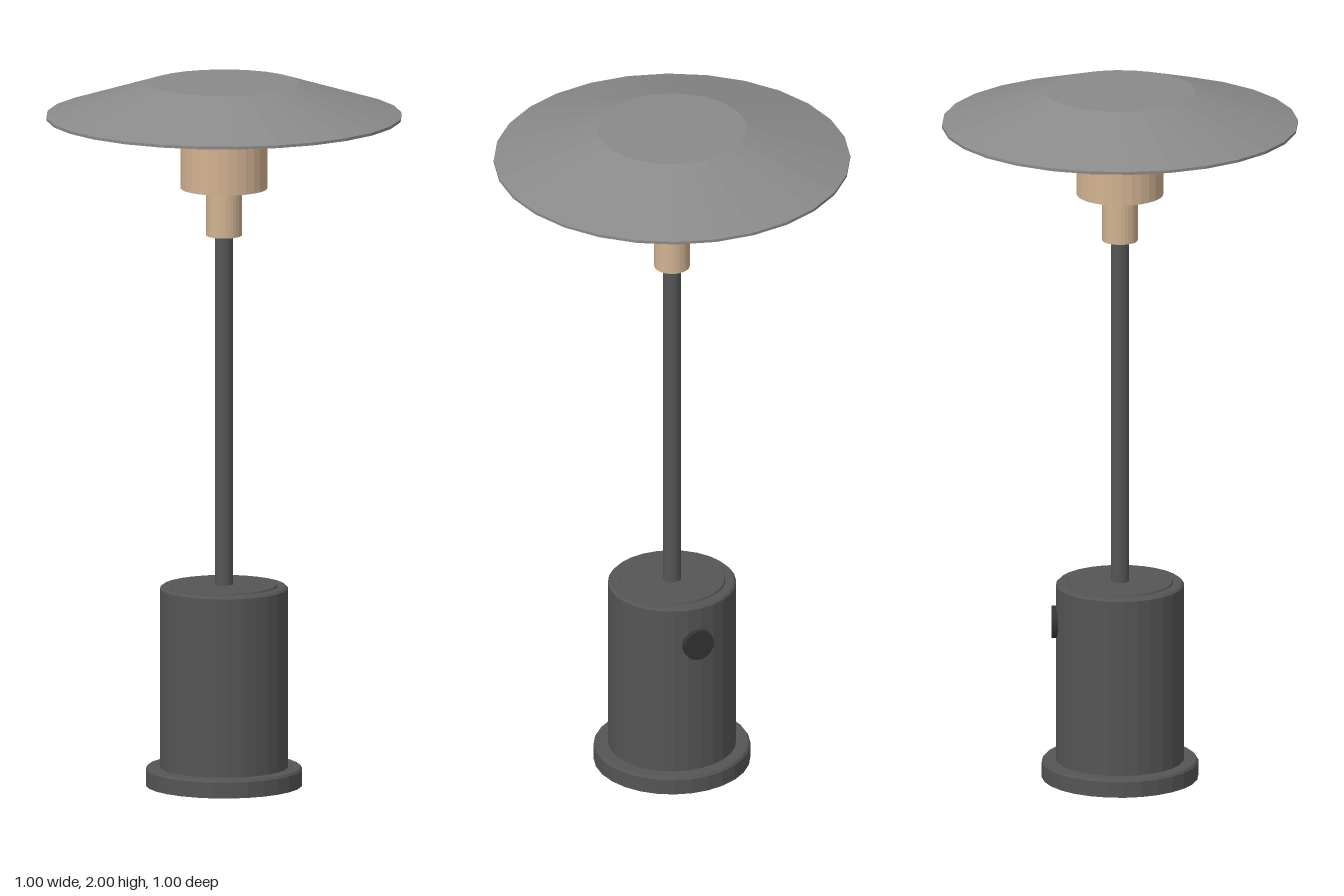
import * as THREE from 'three';

const SIDES = 28;
const dark = new THREE.MeshStandardMaterial({ color: 0x555555, flatShading: true });
const black = new THREE.MeshStandardMaterial({ color: 0x333333, flatShading: true });
const tan = new THREE.MeshStandardMaterial({ color: 0xd2b292, flatShading: true });
const grey = new THREE.MeshStandardMaterial({ color: 0x8a8a8a, flatShading: true, side: THREE.DoubleSide });

export function createModel() {
  const model = new THREE.Group();
  model.name = 'tableLamp';

  // Revolves a [radius, height] profile, listed from bottom to top
  const turned = (name, profile, material, sides = SIDES) => {
    const points = profile.map(([r, y]) => new THREE.Vector2(r, y));
    const mesh = new THREE.Mesh(new THREE.LatheGeometry(points, sides), material);
    mesh.name = name;
    model.add(mesh);
    return mesh;
  };

  // Foot disc with a softened upper edge
  turned('foot', [[0, 0], [0.22, 0], [0.22, 0.045], [0.215, 0.052], [0, 0.052]], dark);

  // Cylindrical body with a bevelled shoulder and raised lid
  turned('body', [[0, 0.05], [0.18, 0.05], [0.18, 0.56], [0.174, 0.566],
    [0.15, 0.566], [0.148, 0.571], [0, 0.571]], dark);

  // Slim stem
  turned('stem', [[0, 0.56], [0.026, 0.56], [0.026, 1.58], [0, 1.58]], dark, 16);

  // Stepped socket under the shade
  turned('socketNeck', [[0, 1.565], [0.05, 1.565], [0.05, 1.705], [0, 1.705]], tan);
  turned('socket', [[0, 1.7], [0.122, 1.7], [0.122, 1.985], [0, 1.985]], tan);

  // Thin shade, open below, with a flat crown
  turned('shade', [[0, 1.99], [0.205, 1.99], [0.5, 1.9], [0.5, 1.908], [0.21, 2], [0, 2]], grey);

  // Round switch on the side of the body, toward the back left
  const knobPivot = new THREE.Group();
  knobPivot.name = 'switch';
  knobPivot.position.y = 0.45;
  knobPivot.rotation.y = THREE.MathUtils.degToRad(35);
  const knob = new THREE.Mesh(new THREE.CylinderGeometry(0.045, 0.045, 0.04, 20), black);
  knob.name = 'switchKnob';
  knob.rotation.z = -Math.PI / 2;
  knob.position.x = 0.172;
  knobPivot.add(knob);
  model.add(knobPivot);

  return model;
}
